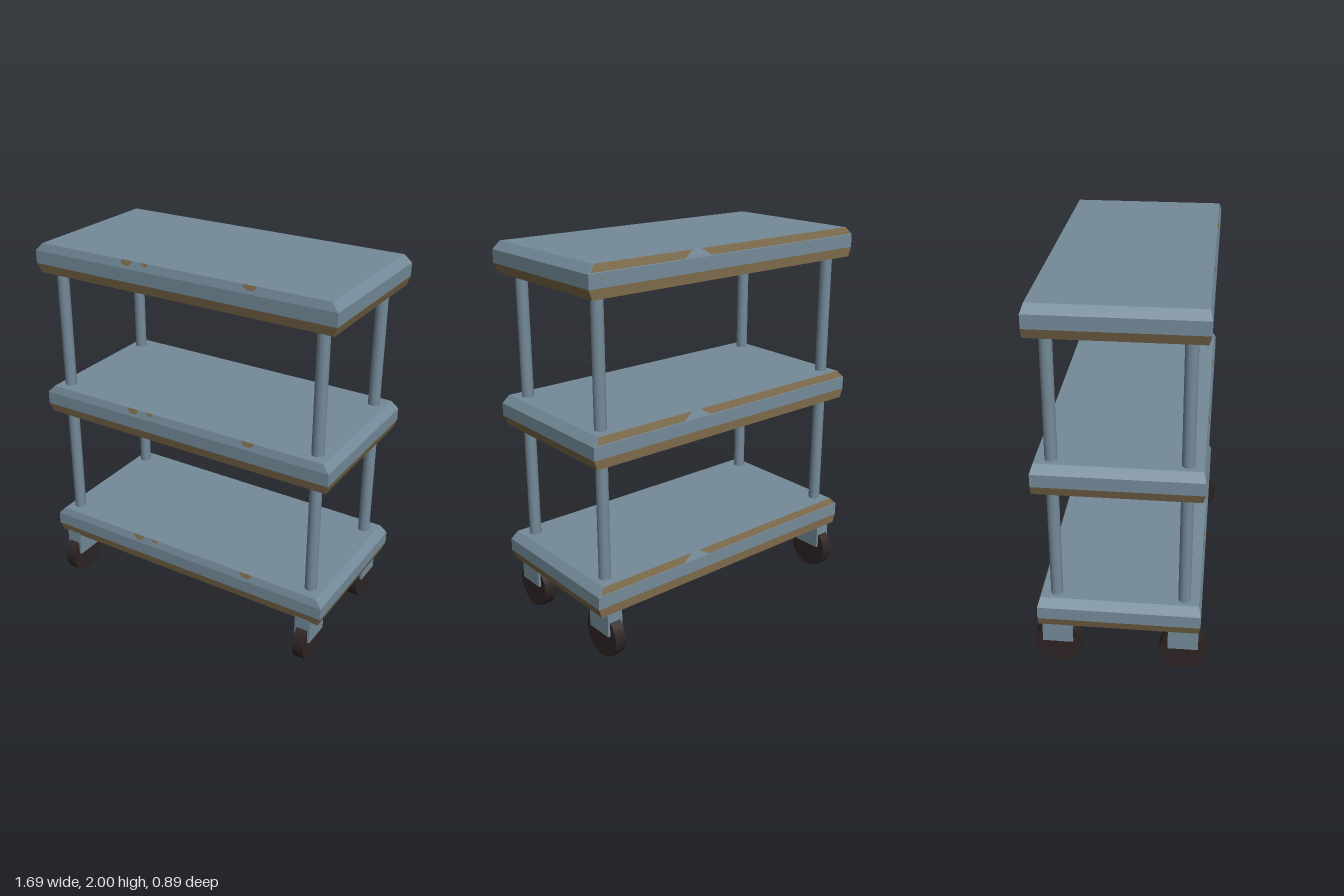
import * as THREE from 'three';

const paint = new THREE.MeshStandardMaterial({ color: 0x748a99 });
paint.name = 'blue grey paint';
const rust = new THREE.MeshStandardMaterial({ color: 0x7e6c4c });
rust.name = 'worn brown';
const rubber = new THREE.MeshStandardMaterial({ color: 0x2e2424 });
rubber.name = 'dark rubber';

// Shelf cross-sections, top to bottom: height, half width, front z, back z
const RINGS = [
  [0, 0.81, 0.4, -0.395],
  [-0.04, 0.847, 0.412, -0.408],
  [-0.107, 0.847, 0.412, -0.408],
  [-0.155, 0.83, 0.4, -0.407],
];

// Flat-faced mesh from convex polygons, each an array of points
function polyMesh(name, polygons, material) {
  const pos = [];
  for (const p of polygons)
    for (let i = 1; i < p.length - 1; i++) pos.push(...p[0], ...p[i], ...p[i + 1]);
  const geo = new THREE.BufferGeometry();
  geo.setAttribute('position', new THREE.Float32BufferAttribute(pos, 3));
  geo.computeVertexNormals();
  const mesh = new THREE.Mesh(geo, material);
  mesh.name = name;
  return mesh;
}

// Worn patch on the front (side 1) or back (side -1) bevel;
// outline holds [x, fraction down the bevel], clockwise seen with x to the right
function wornPatch(name, side, outline) {
  const col = side > 0 ? 2 : 3;
  const pts = outline.map(([x, t]) => [
    x,
    RINGS[1][0] * t + 0.001,
    THREE.MathUtils.lerp(RINGS[0][col], RINGS[1][col], t) + side * 0.002,
  ]);
  if (side > 0) pts.reverse();
  return polyMesh(name, [pts], rust);
}

// Small rounded chip hanging from the top edge
function chip(x, w, depth) {
  return wornPatch('edgeChip', 1, [
    [x - w, 0], [x + w, 0], [x + w * 0.9, depth * 0.5], [x + w * 0.45, depth],
    [x - w * 0.45, depth], [x - w * 0.9, depth * 0.5],
  ]);
}

function shelf(name, top) {
  const g = new THREE.Group();
  g.name = name;
  const rings = RINGS.map(([y, w, f, b]) => [[-w, y, f], [w, y, f], [w, y, b], [-w, y, b]]);
  const band = (i) => [0, 1, 2, 3].map((k) => {
    const n = (k + 1) % 4;
    return [rings[i + 1][k], rings[i + 1][n], rings[i][n], rings[i][k]];
  });
  g.add(polyMesh('shelfBody', [rings[0], ...band(0), ...band(1)], paint));
  g.add(polyMesh('shelfUnderside', [...band(2), [...rings[3]].reverse()], rust));
  // front chips
  g.add(chip(-0.28, 0.033, 0.65), chip(-0.175, 0.02, 0.4), chip(0.405, 0.037, 0.6));
  // long scrapes along the back bevel, with a gap between them
  g.add(wornPatch('backScrape', -1, [[0.25, 0], [0.81, 0], [0.835, 0.9], [0.31, 0.9]]));
  g.add(wornPatch('backScrape', -1, [[-0.81, 0], [0.2, 0], [0.14, 0.9], [-0.835, 0.9]]));
  g.position.y = top;
  return g;
}

function post(x, z) {
  const mesh = new THREE.Mesh(new THREE.CylinderGeometry(0.031, 0.031, 1.55, 16), paint);
  mesh.name = 'post';
  mesh.position.set(x, 1.125, z);
  return mesh;
}

function caster(x, z) {
  const g = new THREE.Group();
  g.name = 'caster';
  const bracket = new THREE.Mesh(new THREE.BoxGeometry(0.088, 0.15, 0.155), paint);
  bracket.name = 'casterBracket';
  bracket.position.y = 0.217;
  const wheel = new THREE.Mesh(new THREE.CylinderGeometry(0.123, 0.123, 0.062, 20), rubber);
  wheel.name = 'casterWheel';
  wheel.rotation.z = Math.PI / 2;
  wheel.position.y = 0.123;
  g.add(bracket, wheel);
  g.position.set(x, 0, z);
  return g;
}

export function createModel() {
  const model = new THREE.Group();
  model.name = 'rollingCart';
  model.add(shelf('topShelf', 2), shelf('middleShelf', 1.207), shelf('bottomShelf', 0.43));
  for (const x of [-0.756, 0.745])
    for (const z of [0.325, -0.318]) model.add(post(x, z), caster(x, z));
  return model;
}
